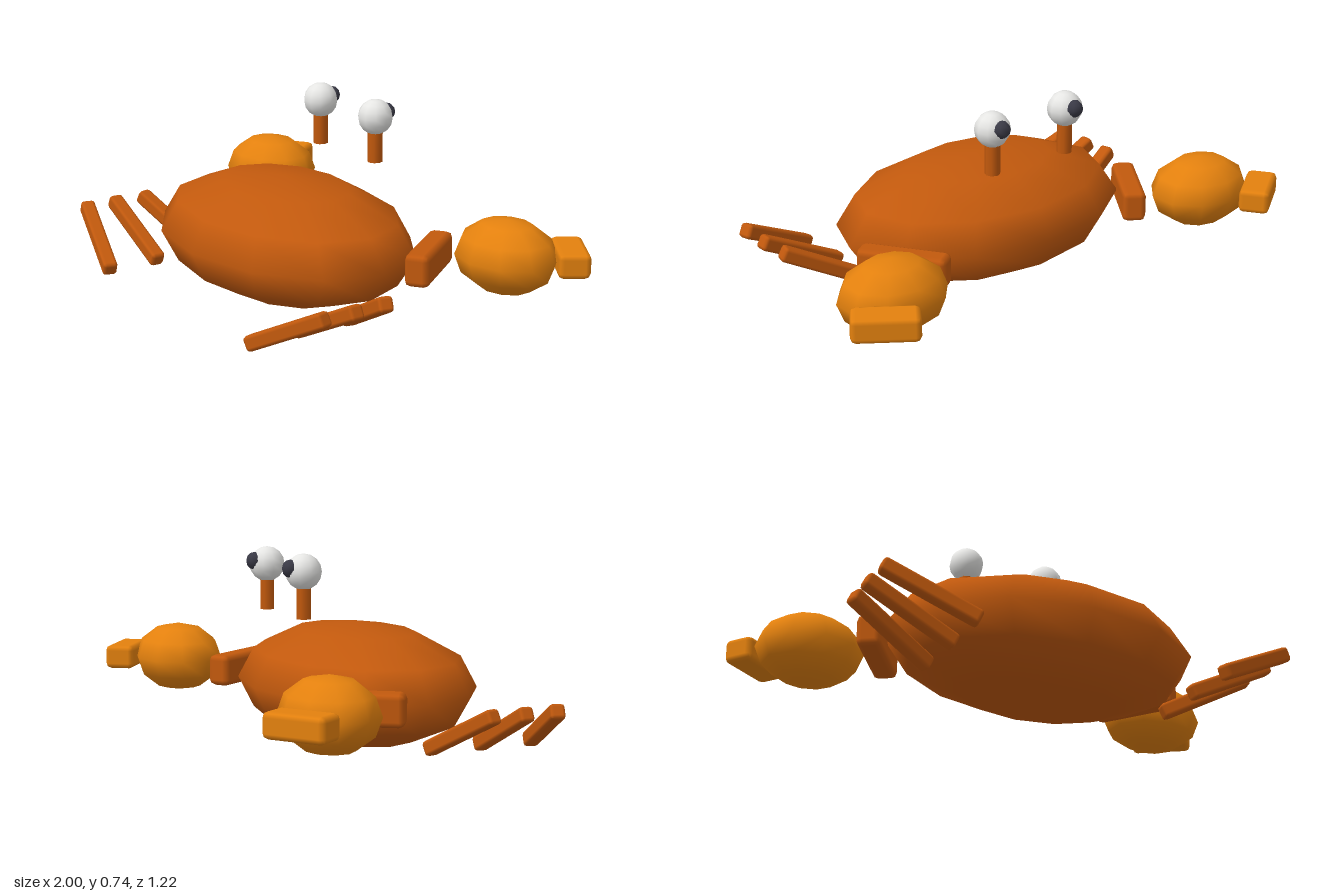
import * as THREE from 'three';
import { RoundedBoxGeometry } from 'three/addons/geometries/RoundedBoxGeometry.js';

const paint = (name, color) => {
  const m = new THREE.MeshStandardMaterial({ color });
  m.name = name;
  return m;
};

export function createModel() {
  const shell = paint('rust shell', 0xc2590d);
  const claw = paint('orange claw', 0xe4810e);
  const white = paint('eye white', 0xe6e6e4);
  const dark = paint('pupil dark', 0x3a3a46);

  const crab = new THREE.Group();
  crab.name = 'crab';

  const add = (parent, name, geometry, material, pos, yaw = 0, tilt = 0) => {
    const mesh = new THREE.Mesh(geometry, material);
    mesh.name = name;
    mesh.position.set(...pos);
    mesh.rotation.set(0, yaw, tilt);
    parent.add(mesh);
    return mesh;
  };
  const ball = (rx, ry, rz, w, h) => new THREE.SphereGeometry(1, w, h).scale(rx, ry, rz);
  const bar = (l, h, w, r) => new RoundedBoxGeometry(l, h, w, 1, r);

  // Flattened body
  add(crab, 'body', ball(0.6, 0.228, 0.41, 12, 6), shell, [0, 0.229, 0.1]);

  // Shared geometry for both sides
  const armGeo = bar(0.335, 0.12, 0.09, 0.022);
  const clawGeo = new THREE.SphereGeometry(1, 10, 6).rotateY(Math.PI / 2).scale(0.205, 0.135, 0.17);
  const pincerGeo = bar(0.235, 0.092, 0.115, 0.02);
  const legGeo = bar(0.375, 0.056, 0.056, 0.013);
  const stalkGeo = new THREE.CylinderGeometry(0.028, 0.028, 0.13, 8);
  const eyeGeo = ball(0.066, 0.066, 0.066, 10, 8);
  const pupilGeo = ball(0.033, 0.033, 0.033, 8, 6);

  for (const side of [1, -1]) {
    const half = new THREE.Group();
    half.name = side > 0 ? 'leftLimbs' : 'rightLimbs';
    half.scale.x = side;
    crab.add(half);

    // Arm, claw and pincer
    add(half, 'arm', armGeo, shell, [0.54, 0.23, -0.147], -0.97);
    add(half, 'claw', clawGeo, claw, [0.73, 0.255, -0.342]);
    add(half, 'pincer', pincerGeo, claw, [0.88, 0.255, -0.51], -0.61);

    // Three fanned legs
    [-0.25, 0, 0.25].forEach((yaw, i) =>
      add(half, 'leg' + (i + 1), legGeo, shell, [0.635, 0.133, 0.205 + i * 0.167], yaw, 0.46));

    // Floating eye on its stalk
    add(half, 'eyeStalk', stalkGeo, shell, [0.17, 0.565, -0.187]);
    add(half, 'eye', eyeGeo, white, [0.17, 0.67, -0.187]);
    add(half, 'pupil', pupilGeo, dark, [0.17, 0.683, -0.238]);
  }
  return crab;
}
